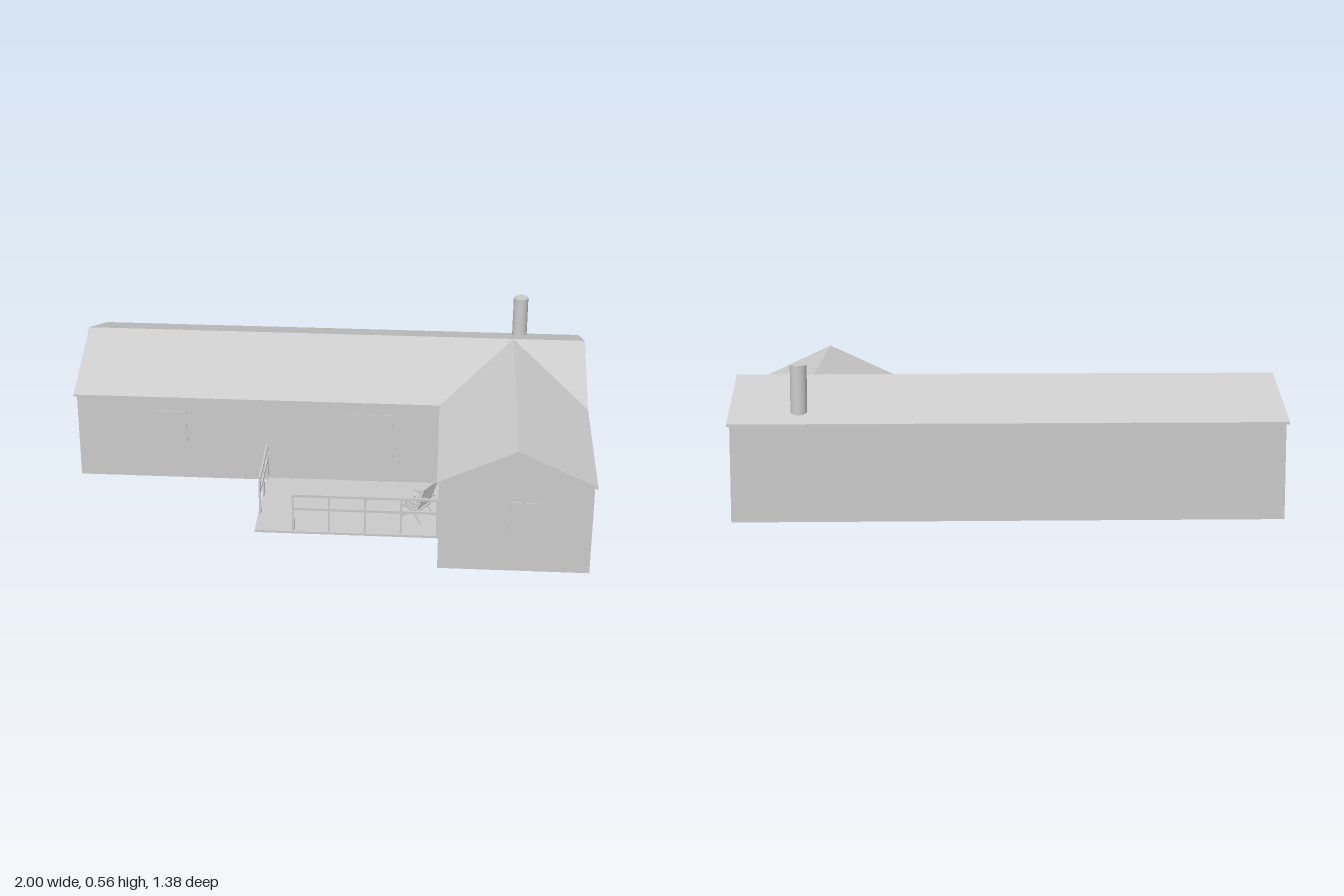
import * as THREE from 'three';

const material = new THREE.MeshStandardMaterial({ color: 0xcccccc, flatShading: true });
const smooth = new THREE.MeshStandardMaterial({ color: 0xcccccc });

const RIDGE = 0.487, EAVE = 0.355, THICK = 0.009;
const RIDGE_Z = -0.32, RIDGE_X = 0.715;
const FRONT_EAVE = 0.045, BACK_EAVE = -0.69, WING_FRONT = 0.685, WING_LEFT = 0.43;

function add(parent, name, geometry, mat = material) {
  const mesh = new THREE.Mesh(geometry, mat);
  mesh.name = name;
  parent.add(mesh);
  return mesh;
}

// Box given by its minimum and maximum corners
function box(parent, name, [x0, y0, z0], [x1, y1, z1]) {
  const g = new THREE.BoxGeometry(x1 - x0, y1 - y0, z1 - z0);
  return add(parent, name, g).position.set((x0 + x1) / 2, (y0 + y1) / 2, (z0 + z1) / 2);
}

// Square bar between two points
function bar(parent, name, a, b, w, h = w) {
  const from = new THREE.Vector3(...a), to = new THREE.Vector3(...b);
  const mesh = add(parent, name, new THREE.BoxGeometry(w, h, from.distanceTo(to)));
  mesh.position.copy(from).lerp(to, 0.5);
  mesh.lookAt(to);
}

// Walls with gable ends: pentagon profile extruded along its length
function gableBody(u0, u1, eave, ridgeU, ridge, depth) {
  const shape = new THREE.Shape();
  shape.moveTo(u0, 0).lineTo(u1, 0).lineTo(u1, eave).lineTo(ridgeU, ridge).lineTo(u0, eave);
  return new THREE.ExtrudeGeometry(shape, { depth, bevelEnabled: false });
}

// Convex roof slab: corners [x, y, z], given counter-clockwise from above
function slab(corners) {
  const pos = [], n = corners.length;
  const low = corners.map(([x, y, z]) => [x, y - THICK, z]);
  for (let i = 1; i < n - 1; i++) {
    pos.push(...corners[0], ...corners[i], ...corners[i + 1]);
    pos.push(...low[0], ...low[i + 1], ...low[i]);
  }
  for (let i = 0; i < n; i++) {
    const j = (i + 1) % n;
    pos.push(...low[i], ...low[j], ...corners[j], ...low[i], ...corners[j], ...corners[i]);
  }
  const g = new THREE.BufferGeometry();
  g.setAttribute('position', new THREE.Float32BufferAttribute(pos, 3));
  g.computeVertexNormals();
  return g;
}

function createRoof() {
  const roof = new THREE.Group();
  roof.name = 'roof';
  const valley = [RIDGE_X, RIDGE, RIDGE_Z];
  const leftValley = [WING_LEFT, EAVE, FRONT_EAVE], rightValley = [1, EAVE, FRONT_EAVE];
  const wingPeak = [RIDGE_X, RIDGE, WING_FRONT];
  const ridgeStart = [-1, RIDGE, RIDGE_Z], ridgeEnd = [1, RIDGE, RIDGE_Z];
  add(roof, 'mainRoofBack', slab([ridgeStart, ridgeEnd, [1, EAVE, BACK_EAVE], [-1, EAVE, BACK_EAVE]]));
  add(roof, 'mainRoofFront', slab([[-1, EAVE, FRONT_EAVE], leftValley, valley, ridgeStart]));
  add(roof, 'mainRoofCorner', slab([rightValley, ridgeEnd, valley]));
  add(roof, 'wingRoofInner', slab([[WING_LEFT, EAVE, WING_FRONT], wingPeak, valley, leftValley]));
  add(roof, 'wingRoofOuter', slab([wingPeak, [1, EAVE, WING_FRONT], rightValley, valley]));
  return roof;
}

// Railing along a straight line with posts at the given fractions
function railing(name, a, b, posts) {
  const group = new THREE.Group();
  group.name = name;
  const at = (t, y) => [a[0] + (b[0] - a[0]) * t, y, a[1] + (b[1] - a[1]) * t];
  for (const t of posts) {
    const [x, , z] = at(t, 0);
    box(group, 'railPost', [x - 0.004, 0.005, z - 0.004], [x + 0.004, 0.155, z + 0.004]);
  }
  for (const y of [0.101, 0.156]) bar(group, 'rail', at(0, y), at(1, y), 0.008, 0.01);
  return group;
}

// Slatted garden chair facing +z
function createChair() {
  const chair = new THREE.Group();
  chair.name = 'gardenChair';
  const w = 0.046;
  for (const s of [-1, 1]) {
    const x = s * w;
    bar(chair, 'chairLeg', [x, 0.01, 0.05], [x, 0.09, -0.03], 0.006);
    bar(chair, 'chairLeg', [x, 0.01, -0.045], [x, 0.09, 0.03], 0.006);
    bar(chair, 'armRest', [x, 0.092, 0.05], [x, 0.092, -0.04], 0.01, 0.006);
    bar(chair, 'backFrame', [x * 0.85, 0.055, -0.02], [x * 0.85, 0.155, -0.052], 0.006);
  }
  for (let i = 0; i < 6; i++) {
    const z = 0.045 - i * 0.014, y = 0.064 - i * 0.001;
    bar(chair, 'seatSlat', [-w, y, z], [w, y, z], 0.01, 0.004);
  }
  for (let i = 0; i < 5; i++) {
    const t = 0.2 + i * 0.19, y = 0.055 + 0.1 * t, z = -0.02 - 0.032 * t;
    bar(chair, 'backSlat', [-w, y, z], [w, y, z], 0.005, 0.014);
  }
  return chair;
}

export function createModel() {
  const house = new THREE.Group();
  house.name = 'house';

  // Main block (profile turned to run along x) and front wing
  const main = gableBody(-0.03, 0.675, 0.35, -RIDGE_Z, RIDGE - 0.006, 1.98);
  main.rotateY(Math.PI / 2).translate(-0.99, 0, 0);
  add(house, 'mainWalls', main);
  const wing = gableBody(0.44, 0.99, 0.35, RIDGE_X, RIDGE - 0.006, 0.655);
  add(house, 'wingWalls', wing.translate(0, 0, 0.02));

  house.add(createRoof());

  // Chimney
  add(house, 'chimney', new THREE.CylinderGeometry(0.03, 0.03, 0.205, 32), smooth)
    .position.set(0.75, 0.4525, -0.597);

  // Windows and doors, set almost flush with the walls
  box(house, 'mainWindow', [-0.68, 0.14, 0.02], [-0.56, 0.29, 0.033]);
  box(house, 'mainDoor', [0.08, 0.01, 0.02], [0.25, 0.3, 0.033]);
  box(house, 'wingWindow', [0.7, 0.14, 0.66], [0.81, 0.28, 0.678]);
  box(house, 'wingDoor', [0.437, 0.01, 0.21], [0.45, 0.28, 0.34]);

  // Deck with railings and chair
  box(house, 'deck', [-0.25, 0, 0.02], [0.445, 0.009, 0.457]);
  house.add(railing('frontRailing', [-0.105, 0.447], [0.435, 0.447], [0, 0.25, 0.5, 0.75, 1]));
  house.add(railing('sideRailing', [-0.243, 0.035], [-0.243, 0.322], [0.04, 0.52, 1]));
  const chair = createChair();
  chair.position.set(0.36, 0, 0.31);
  chair.rotation.y = Math.atan2(-0.85, -0.52);
  house.add(chair);

  return house;
}
